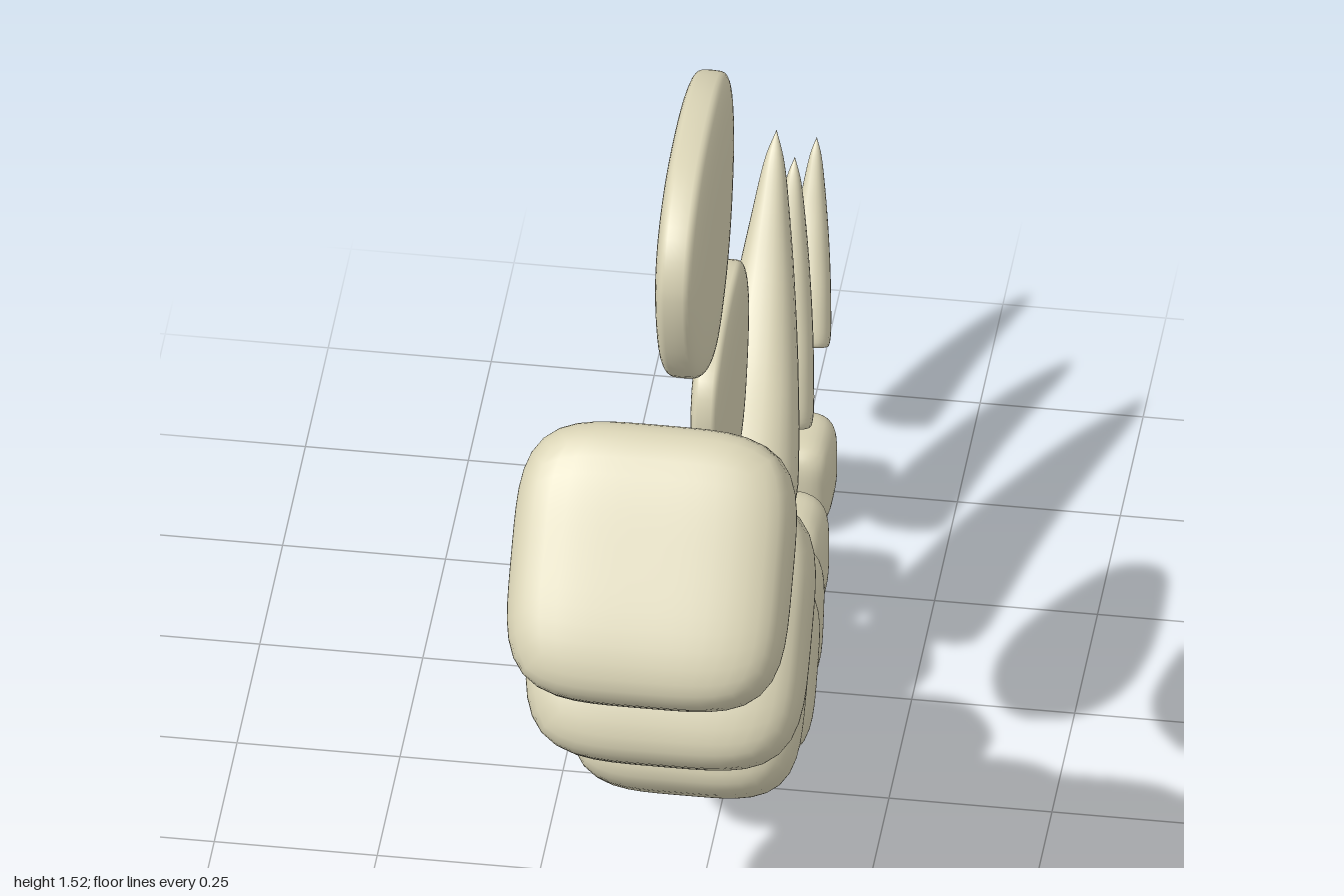
import * as THREE from 'three';
import { mergeVertices } from 'three/addons/utils/BufferGeometryUtils.js';

const spow = (v, e) => Math.sign(v) * Math.abs(v) ** e;

// Smooth closed skin from rings: point(u, v), u from 0 to 1 along, v around
function loft(rows, cols, point) {
  const pos = [], index = [];
  for (let i = 0; i <= rows; i++) {
    for (let j = 0; j < cols; j++) pos.push(...point(i / rows, j / cols));
  }
  for (let i = 0; i < rows; i++) {
    for (let j = 0; j < cols; j++) {
      const k = (j + 1) % cols;
      const a = i * cols + j, b = a + cols, c = i * cols + k, d = c + cols;
      index.push(a, b, c, b, d, c);
    }
  }
  const geo = new THREE.BufferGeometry();
  geo.setAttribute('position', new THREE.Float32BufferAttribute(pos, 3));
  geo.setIndex(index);
  const merged = mergeVertices(geo, 1e-5);
  merged.computeVertexNormals();
  return merged;
}

// Pillow-like block: a cube puffed out to a superellipsoid
function softBlock(hx, hy, hz) {
  const box = new THREE.BoxGeometry(2, 2, 2, 14, 14, 14);
  box.deleteAttribute('normal');
  box.deleteAttribute('uv');
  const geo = mergeVertices(box);
  const p = geo.attributes.position, power = 4;
  for (let i = 0; i < p.count; i++) {
    const d = [p.getX(i), p.getY(i), p.getZ(i)].map((c) => Math.tan(c * Math.PI / 4));
    const r = d.reduce((s, c) => s + Math.abs(c) ** power, 0) ** (1 / power);
    p.setXYZ(i, d[0] / r * hx, d[1] / r * hy, d[2] / r * hz);
  }
  geo.computeVertexNormals();
  return geo;
}

// Flat plate with a rounded rim; outline given as [z, y]
function plateGeometry(outline, [cz, cy], half) {
  const curve = new THREE.CatmullRomCurve3(
    outline.map(([z, y]) => new THREE.Vector3(0, y, z)), true, 'centripetal');
  return loft(28, 64, (u, v) => {
    const a = (u - 0.5) * Math.PI, q = curve.getPoint(v);
    const s = u === 0 || u === 1 ? 0 : Math.cos(a) ** 0.45;
    return [half * spow(Math.sin(a), 0.45), cy + (q.y - cy) * s, cz + (q.z - cz) * s];
  });
}

// Curved spike: stations of [upper back, upper y, lower back, lower y, half width]
function spikeGeometry() {
  const stations = [
    [0, 0, 0, 0, 0],
    [-0.043, 0.027, 0.048, -0.043, 0.065],
    [-0.051, 0.053, 0.075, -0.037, 0.08],
    [0.016, 0.102, 0.139, 0.016, 0.074],
    [0.118, 0.171, 0.219, 0.102, 0.06],
    [0.209, 0.257, 0.278, 0.187, 0.045],
    [0.278, 0.337, 0.326, 0.273, 0.03],
    [0.332, 0.401, 0.353, 0.358, 0.016],
    [0.366, 0.428, 0.366, 0.428, 0],
  ];
  const rail = (k) => new THREE.CatmullRomCurve3(
    stations.map((s) => new THREE.Vector3(s[4], s[k + 1], -s[k])), false, 'catmullrom', 0.5);
  const upper = rail(0), lower = rail(2);
  return loft(40, 28, (u, v) => {
    const a = upper.getPoint(u), b = lower.getPoint(u), t = v * 2 * Math.PI;
    const c = spow(Math.cos(t), 0.8), s = spow(Math.sin(t), 0.8);
    return [-s * a.x, (a.y + b.y) / 2 + c * (a.y - b.y) / 2, (a.z + b.z) / 2 + c * (a.z - b.z) / 2];
  });
}

export function createModel() {
  const group = new THREE.Group();
  const bone = new THREE.MeshStandardMaterial({ color: 0xd9d3b5 });
  bone.name = 'bone';
  const add = (name, geo) => {
    const mesh = new THREE.Mesh(geo, bone);
    mesh.name = name;
    group.add(mesh);
    return mesh;
  };

  // Tail segments: z, y, half width, half height, half depth, lean in degrees
  [
    [0.812, 1.03, 0.213, 0.215, 0.105, 40],
    [0.605, 0.762, 0.213, 0.215, 0.105, 40],
    [0.387, 0.5, 0.175, 0.18, 0.11, 41],
    [0.094, 0.302, 0.15, 0.148, 0.102, 33],
    [-0.187, 0.176, 0.12, 0.122, 0.085, 15],
    [-0.441, 0.103, 0.093, 0.1, 0.072, 2],
    [-0.692, 0.082, 0.07, 0.08, 0.07, 0],
  ].forEach(([z, y, hx, hy, hz, lean], i) => {
    const m = add('tailSegment' + (i + 1), softBlock(hx, hy, hz));
    m.position.set(0, y, z);
    m.rotation.x = -THREE.MathUtils.degToRad(lean);
  });

  // Back plates
  add('largePlate', plateGeometry([
    [0.34, 1.52], [0.22, 1.51], [0.14, 1.47], [0.11, 1.36], [0.15, 1.2], [0.22, 1.11],
    [0.32, 1.06], [0.44, 1.11], [0.54, 1.21], [0.58, 1.36], [0.55, 1.44], [0.46, 1.5],
  ], [0.34, 1.31], 0.038));
  add('smallPlate', plateGeometry([
    [0.03, 0.98], [-0.06, 0.96], [-0.105, 0.88], [-0.08, 0.74], [-0.03, 0.66], [0.03, 0.635],
    [0.12, 0.66], [0.2, 0.73], [0.245, 0.845], [0.225, 0.93], [0.15, 0.97],
  ], [0.06, 0.82], 0.028));

  // Tail spikes: z, y, scale, tilt in degrees
  const spike = spikeGeometry();
  [
    [-0.19, 0.405, 1, 0],
    [-0.527, 0.293, 0.724, 6.4],
    [-0.813, 0.23, 0.56, 5],
  ].forEach(([z, y, scale, tilt], i) => {
    const m = add('tailSpike' + (i + 1), spike);
    m.position.set(0, y, z);
    m.scale.setScalar(scale);
    m.rotation.x = THREE.MathUtils.degToRad(tilt);
  });

  return group;
}
